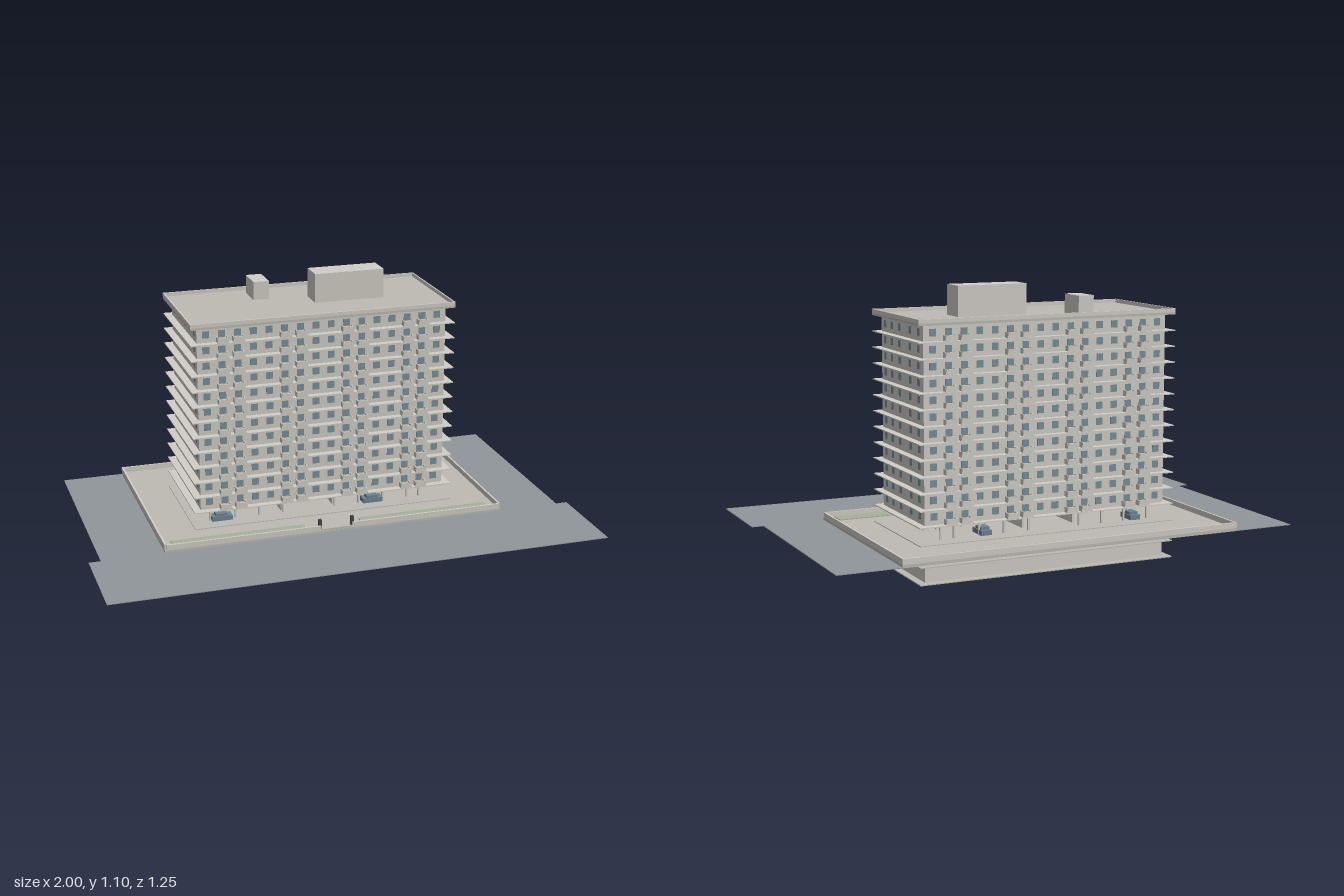
import * as THREE from 'three';
import { mergeGeometries } from 'three/addons/utils/BufferGeometryUtils.js';

const mat = (color) => new THREE.MeshStandardMaterial({ color });
const WALL = mat(0xd2cec7), PAVING = mat(0xbdbbb3), ASPHALT = mat(0x90969a);
const GLASS = mat(0x78909a), GRASS = mat(0xa6b199), CAR = mat(0x6d8494), DARK = mat(0x44484a);

// Box given by its min and max corners
function box(x0, x1, y0, y1, z0, z1) {
  return new THREE.BoxGeometry(x1 - x0, y1 - y0, z1 - z0)
    .translate((x0 + x1) / 2, (y0 + y1) / 2, (z0 + z1) / 2);
}

// Main dimensions
const WX = 0.513, WZ0 = -0.368, WZ1 = 0.058;   // tower walls
const SX = 0.543, SZ0 = -0.398, SZ1 = 0.086;   // slab edges
const PX = 0.702, PZ0 = -0.622, PZ1 = 0.245;   // podium
const MIDZ = (WZ0 + WZ1) / 2;
const BASE = 0.22, STOREY = 0.063, FLOORS = 12, GROUND = 0.138, DECK = 0.15;

// Upright wall around a rectangle
function rim(x, z0, z1, y0, y1, t) {
  return [
    box(-x, x, y0, y1, z0, z0 + t), box(-x, x, y0, y1, z1 - t, z1),
    box(-x, -x + t, y0, y1, z0 + t, z1 - t), box(x - t, x, y0, y1, z0 + t, z1 - t),
  ];
}

// Balcony parapet: tapered front panel with two cheeks, resting on the slab edge
function balcony(x, y, back) {
  const w = 0.025, n = 0.019, h = 0.022, t = 0.004;
  const shape = new THREE.Shape([[-w, 0], [w, 0], [n, h], [-n, h]].map((p) => new THREE.Vector2(...p)));
  const panel = new THREE.ExtrudeGeometry(shape, { depth: t, bevelEnabled: false })
    .toNonIndexed().translate(0, 0, SZ1 - t);
  const parts = [panel, ...[-1, 1].map((s) =>
    box(s * 0.02 - 0.002, s * 0.02 + 0.002, 0, h, WZ1, SZ1 - t).toNonIndexed())];
  const g = mergeGeometries(parts);
  if (back) g.translate(0, 0, -MIDZ).rotateY(Math.PI).translate(0, 0, MIDZ);
  return g.translate(x, y, 0);
}

export function createModel() {
  const model = new THREE.Group();
  const add = (name, geos, material) => {
    const list = Array.isArray(geos) ? geos : [geos];
    const mesh = new THREE.Mesh(list.length > 1 ? mergeGeometries(list) : list[0], material);
    mesh.name = name;
    model.add(mesh);
    return mesh;
  };

  // Street, wrapping three sides of the podium
  const street = new THREE.Shape([
    [-1, -0.623], [1, -0.623], [1, -PZ1], [0.953, -PZ1], [0.953, 0.623], [PX, 0.623],
    [PX, -PZ1], [-PX, -PZ1], [-PX, 0.623], [-0.953, 0.623], [-0.953, -PZ1], [-1, -PZ1],
  ].map((p) => new THREE.Vector2(...p)));
  add('street', new THREE.ExtrudeGeometry(street, { depth: 0.003, bevelEnabled: false })
    .rotateX(-Math.PI / 2).translate(0, GROUND, 0), ASPHALT);

  // Podium with boundary wall, entrance gap and gate posts
  add('podium', box(-PX, PX, GROUND, DECK, PZ0, PZ1), PAVING);
  const [backWall, , leftWall, rightWall] = rim(PX, PZ0, PZ1, DECK, 0.172, 0.008);
  add('boundaryWall', [backWall, leftWall, rightWall,
    box(-PX + 0.008, -0.068, DECK, 0.172, PZ1 - 0.008, PZ1),
    box(0.063, PX - 0.008, DECK, 0.172, PZ1 - 0.008, PZ1)], WALL);
  add('entranceStep', box(-0.068, 0.063, DECK, 0.157, PZ1 - 0.03, PZ1 - 0.002), PAVING);
  add('gatePosts', [-0.07, 0.064].map((x) => box(x - 0.006, x + 0.006, DECK, 0.195, 0.225, 0.239)), DARK);

  // Lawns
  add('lawns', [
    box(-0.665, -0.12, DECK, DECK + 0.003, 0.165, 0.236),
    box(0.112, 0.66, DECK, DECK + 0.003, 0.165, 0.236),
    box(-0.18, 0.535, DECK, DECK + 0.003, -0.613, -0.54),
  ], GRASS);

  // Basement storeys below the podium
  add('basementWalls', box(-WX, WX, 0.002, 0.132, WZ0, WZ1), WALL);
  add('basementSlabs', [0, 0.066].map((y) => box(-SX, SX, y, y + 0.004, SZ0, SZ1)), PAVING);

  // Open ground floor on columns and cross walls
  const columns = [];
  for (const x of [-0.465, -0.36, -0.26, -0.16, 0.06, 0.165, 0.27, 0.375, 0.43])
    for (const z of [0.015, -0.153, -0.325])
      columns.push(box(x - 0.004, x + 0.004, DECK, BASE, z - 0.004, z + 0.004));
  add('columns', columns, WALL);
  add('crossWalls', [-0.16, 0.06].map((x) => box(x - 0.005, x + 0.005, DECK, BASE, -0.275, 0)), WALL);
  add('groundPad', box(-SX, SX, DECK, DECK + 0.003, SZ0, SZ1), PAVING);

  // Parked cars
  const cars = [[-0.42, 0.02, 0], [0.22, 0.02, 0], [-0.4, -0.31, 1], [0.25, -0.31, 1]];
  for (const [x, z, turn] of cars) {
    const car = add('car', [box(-0.022, 0.022, 0.005, 0.024, -0.042, 0.042),
      box(-0.018, 0.018, 0.024, 0.035, -0.026, 0.022)], CAR);
    car.position.set(x, DECK + 0.002, z);
    car.rotation.y = turn ? 0 : Math.PI / 2;
  }

  // Tower body and floor slabs
  const top = BASE + FLOORS * STOREY;
  add('towerWalls', box(-WX, WX, BASE, top, WZ0, WZ1), WALL);
  const slabs = [], windows = [], balconies = [];
  const pairs = [-0.4245, -0.1705, 0.0835, 0.1475, 0.4015];
  for (let f = 0; f < FLOORS; f++) {
    const y = BASE + f * STOREY, w0 = y + 0.02, w1 = y + 0.048;
    slabs.push(box(-SX, SX, y - 0.002, y + 0.002, SZ0, SZ1));

    // Long facades
    for (let i = 0; i < 16; i++) {
      const x = -0.477 + i * 0.0635;
      for (const z of [WZ0, WZ1])
        windows.push(box(x - 0.014, x + 0.014, w0, w1, z - 0.001, z + 0.001));
      // Paired balconies
      if ([1, 2, 5, 6, 9, 10, 13, 14].includes(i))
        for (const back of [false, true]) balconies.push(balcony(x, y + 0.002, back));
    }
    // End walls
    for (const z of [0.018, -0.052, -0.132, -0.238, -0.322])
      for (const x of [-WX, WX])
        windows.push(box(x - 0.001, x + 0.001, w0, w1, z - 0.0125, z + 0.0125));
  }
  add('floorSlabs', slabs, WALL);
  add('windows', windows, GLASS);
  add('balconies', balconies, WALL);

  // Flat roof with parapet and plant rooms
  add('roofSlab', box(-SX, SX, top, 0.985, SZ0, SZ1), PAVING);
  add('roofParapet', rim(SX, SZ0, SZ1, 0.985, 1.0, 0.006), WALL);
  add('plantRoom', box(0.02, 0.31, 0.985, 1.104, -0.222, -0.118), WALL);
  add('stairHead', box(-0.205, -0.14, 0.985, 1.06, -0.35, -0.232), WALL);
  return model;
}
